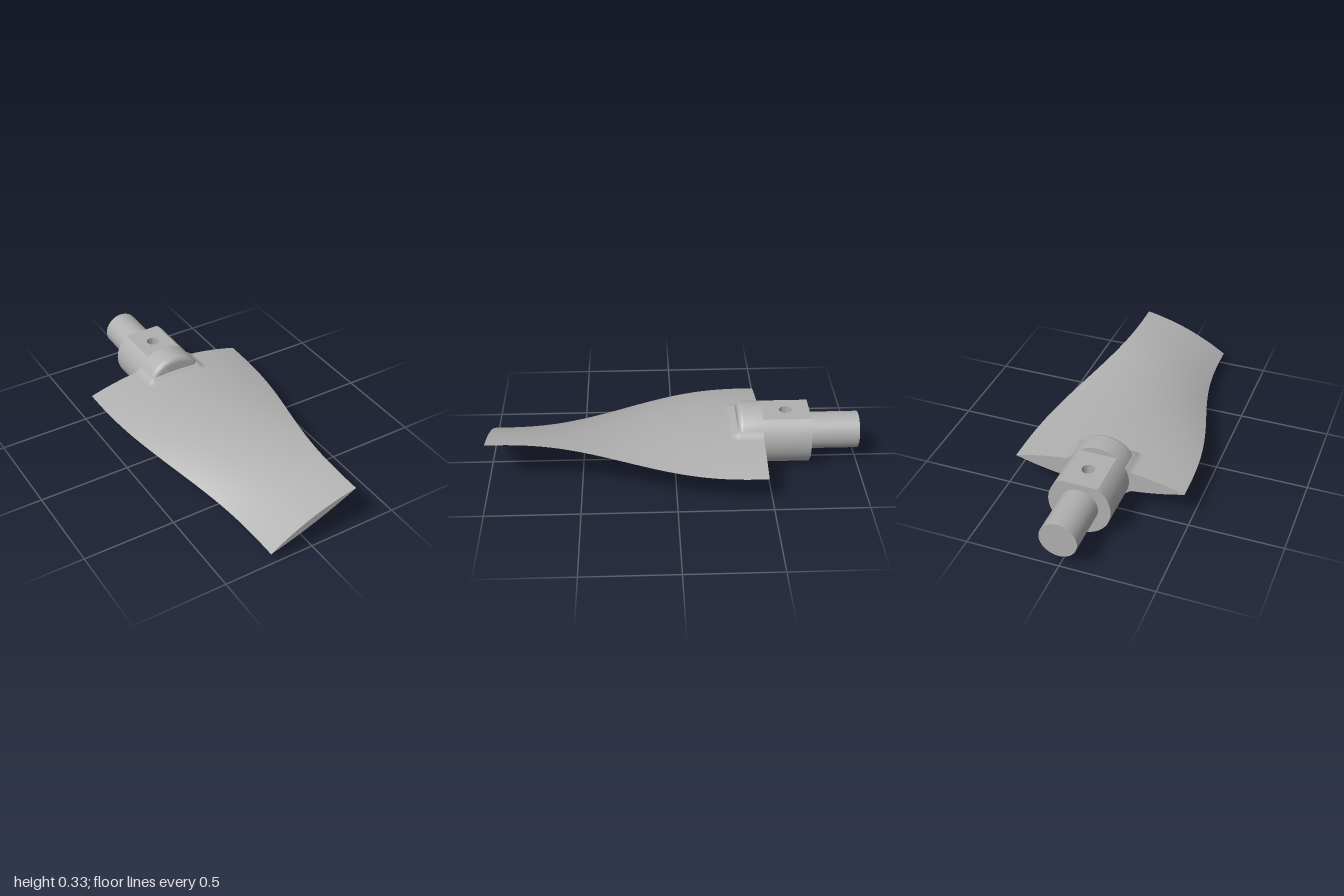
import * as THREE from 'three';
import { toCreasedNormals } from 'three/addons/utils/BufferGeometryUtils.js';

const AXIS = 0.167, R = 0.167, FLAT = 0.133;   // shaft height, hub radius, flat above axis
const ROOT = -0.47, TIP = 1, NOSE = -0.335, BACK = -0.73;
const lerp = THREE.MathUtils.lerp;

// Sheet of (nu x nv) quads from a function of u, v in 0..1
function sheet(nu, nv, fn, flip) {
  const pos = [], idx = [];
  for (let j = 0; j <= nv; j++)
    for (let i = 0; i <= nu; i++) pos.push(...fn(i / nu, j / nv));
  for (let j = 0; j < nv; j++)
    for (let i = 0; i < nu; i++) {
      const a = j * (nu + 1) + i, b = a + 1, c = a + nu + 1, d = c + 1;
      idx.push(...(flip ? [a, c, b, b, c, d] : [a, b, c, b, d, c]));
    }
  const g = new THREE.BufferGeometry();
  g.setAttribute('position', new THREE.Float32BufferAttribute(pos, 3));
  g.setIndex(idx);
  g.computeVertexNormals();
  return g;
}

// Point on the twisted lens section; side is +1 (upper) or -1 (lower)
function bladePoint(u, v, side) {
  const s = THREE.MathUtils.smootherstep(v, 0, 1);
  const ex = lerp(0.465, 0.245, s), ey = lerp(0, 0.1, s), len = Math.hypot(ex, ey);
  const t = u * 2 - 1, z = lerp(ROOT, TIP, v);
  let h = lerp(0.069, side > 0 ? 0.028 : 0.014, s) * (1 - t * t);
  // small fillet where the blade meets the hub
  const d = Math.hypot(Math.max(0, Math.abs(t * ex) - 0.148), Math.max(0, z - NOSE));
  h += 0.022 * Math.max(0, 1 - d / 0.04) ** 2;
  h *= side;
  return [t * ex - (h * ey) / len, AXIS + t * ey + (h * ex) / len, z];
}

export function createModel() {
  const model = new THREE.Group();
  const metal = new THREE.MeshStandardMaterial({ color: 0xb0b0b0 });
  metal.name = 'grey metal';
  const add = (name, geometry, y = 0, z = 0, parent = model) => {
    const mesh = new THREE.Mesh(geometry, metal);
    mesh.name = name;
    mesh.position.set(0, y, z);
    parent.add(mesh);
    return mesh;
  };

  // Twisted blade
  const blade = new THREE.Group();
  blade.name = 'blade';
  model.add(blade);
  const cap = (v) => (u, w) => {
    const a = bladePoint(u, v, -1), b = bladePoint(u, v, 1);
    return a.map((n, k) => lerp(n, b[k], w));
  };
  add('bladeUpperSurface', sheet(80, 140, (u, v) => bladePoint(u, v, 1), true), 0, 0, blade);
  add('bladeLowerSurface', sheet(80, 140, (u, v) => bladePoint(u, v, -1), false), 0, 0, blade);
  add('bladeTipFace', sheet(80, 1, cap(1), false), 0, 0, blade);
  add('bladeRootFace', sheet(80, 1, cap(0), true), 0, 0, blade);

  // Round collar with a softened nose
  const profile = [new THREE.Vector2(0, ROOT), new THREE.Vector2(R, ROOT)];
  for (let i = 0; i <= 8; i++) {
    const a = (i / 8) * Math.PI / 2;
    profile.push(new THREE.Vector2(R - 0.03 + 0.03 * Math.cos(a), NOSE - 0.03 + 0.03 * Math.sin(a)));
  }
  profile.push(new THREE.Vector2(0, NOSE));
  const collar = toCreasedNormals(new THREE.LatheGeometry(profile, 64), 0.6);
  add('collar', collar.rotateX(Math.PI / 2), AXIS);

  // Hub with a flat on top
  const hub = new THREE.Group();
  hub.name = 'hub';
  model.add(hub);
  const gap = Math.acos(FLAT / R), halfFlat = R * Math.sin(gap), length = ROOT - BACK;
  const mid = (ROOT + BACK) / 2, sweep = Math.PI - gap;
  const wall = new THREE.CylinderGeometry(R, R, length, 64, 1, true, -sweep, 2 * sweep);
  add('hubWall', wall.rotateX(Math.PI / 2), AXIS, mid, hub);
  const section = new THREE.Shape();
  section.absarc(0, 0, R, Math.PI / 2 + gap, Math.PI * 2.5 - gap, false);
  add('hubBackFace', new THREE.ShapeGeometry(section, 64).rotateY(Math.PI), AXIS, BACK, hub);

  // Flat with a blind pin hole
  const flat = new THREE.Shape();
  flat.moveTo(-halfFlat, -length / 2).lineTo(halfFlat, -length / 2);
  flat.lineTo(halfFlat, length / 2).lineTo(-halfFlat, length / 2).closePath();
  const holeR = 0.034, holeDepth = 0.1;
  flat.holes.push(new THREE.Path().absarc(0, 0, holeR, 0, Math.PI * 2, true));
  add('hubFlat', new THREE.ShapeGeometry(flat, 32).rotateX(-Math.PI / 2), AXIS + FLAT, mid, hub);
  const hole = [[holeR, 0], [holeR, -holeDepth], [0, -holeDepth]].map((p) => new THREE.Vector2(...p));
  add('pinHole', toCreasedNormals(new THREE.LatheGeometry(hole, 32), 0.6), AXIS + FLAT, mid, hub);

  // Shaft
  const shaft = new THREE.CylinderGeometry(0.1, 0.1, 0.28, 48).rotateX(Math.PI / 2);
  add('shaft', shaft, AXIS, -0.86);

  return model;
}
